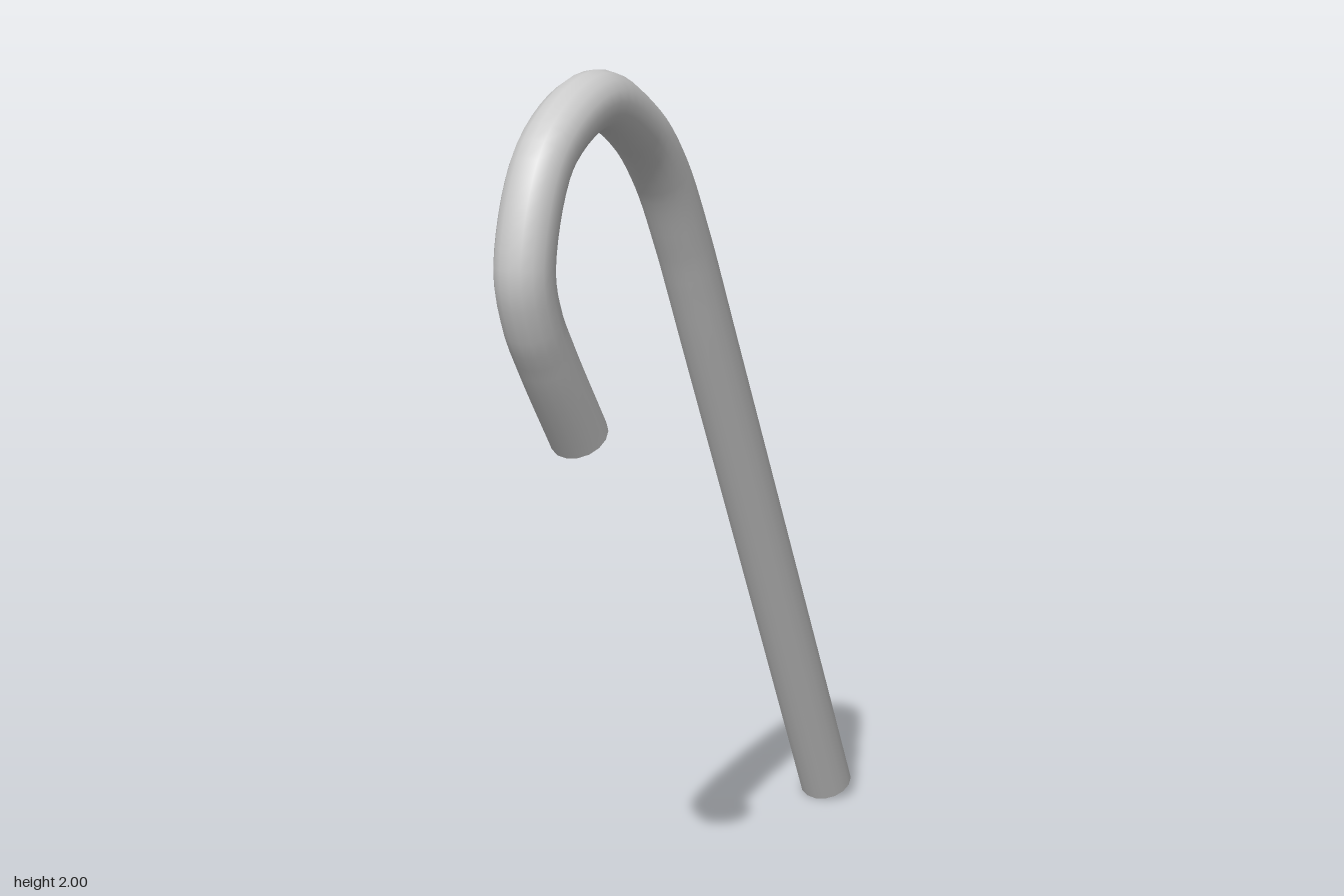
import * as THREE from 'three';

const RADIUS = 0.065;
const SIDES = 16;
const TURN = 0.219; // the cane's plane is turned about the vertical axis

export function createModel() {
  const model = new THREE.Group();
  model.name = 'cane';
  const material = new THREE.MeshStandardMaterial({ color: 0xcccccc });

  // Centre line from the foot, up the straight shaft and round the hook
  const points = [
    [0.722, 0.031], [0.5, 0.479], [0.28, 0.922], [0.065, 1.355],
    [0.012, 1.463], [-0.045, 1.575], [-0.14, 1.735], [-0.25, 1.85],
    [-0.43, 1.935], [-0.635, 1.845], [-0.72, 1.63], [-0.693, 1.515],
    [-0.636, 1.417], [-0.504, 1.222],
  ].map(([x, y]) => new THREE.Vector3(x / Math.cos(TURN), y, 0));
  const path = new THREE.CatmullRomCurve3(points);

  // Shaft and hook in one smooth tube
  const rod = new THREE.Mesh(new THREE.TubeGeometry(path, 96, RADIUS, SIDES), material);
  rod.name = 'shaftAndHook';
  model.add(rod);

  // Flat end faces, each looking outwards along the path
  const addCap = (name, t, sign) => {
    const cap = new THREE.Mesh(new THREE.CircleGeometry(RADIUS, SIDES), material);
    cap.name = name;
    cap.position.copy(path.getPointAt(t));
    const outward = path.getTangentAt(t).multiplyScalar(sign);
    cap.quaternion.setFromUnitVectors(new THREE.Vector3(0, 0, 1), outward);
    model.add(cap);
  };
  addCap('footEnd', 0, -1);
  addCap('hookEnd', 1, 1);

  model.rotation.y = TURN;
  return model;
}
